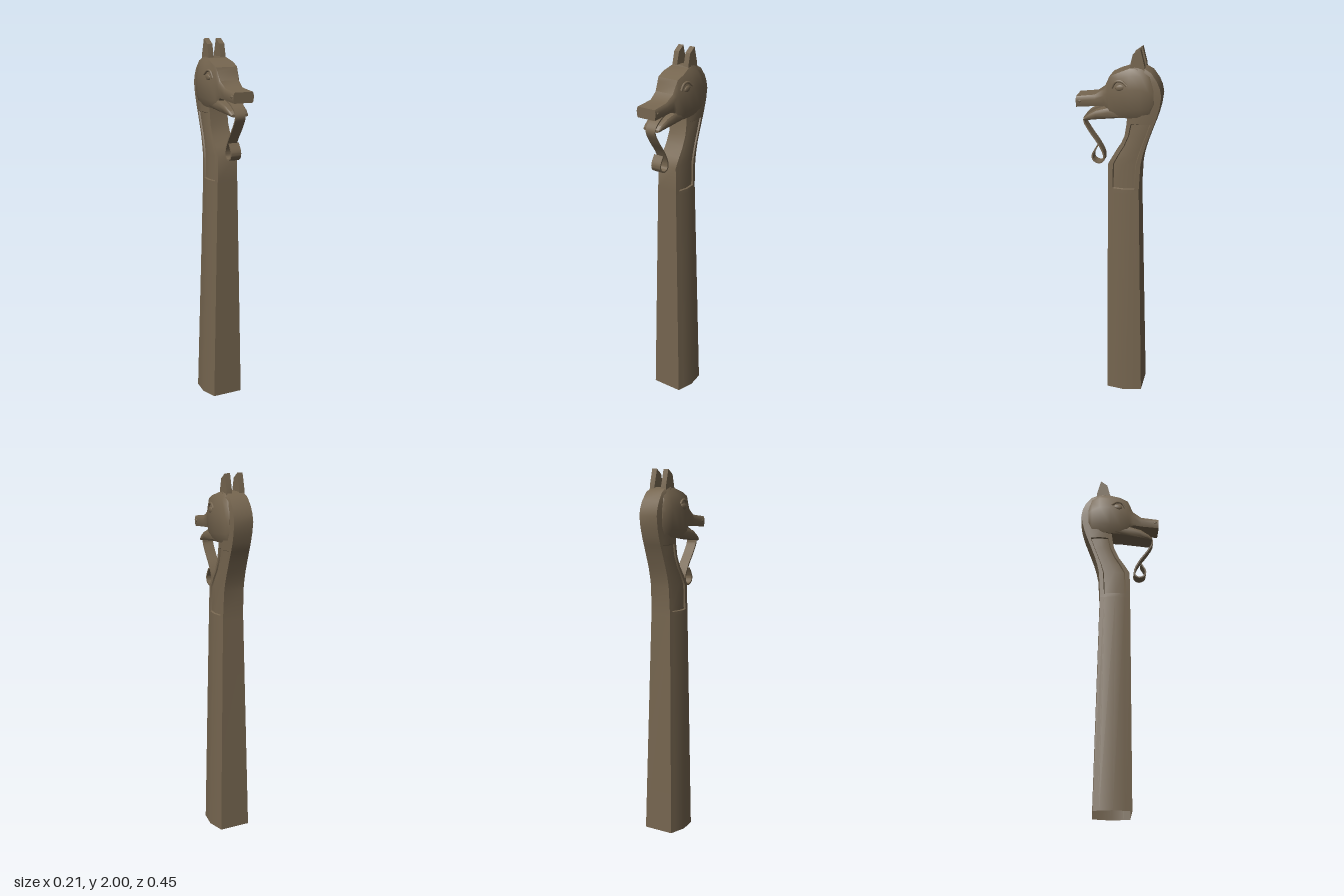
import * as THREE from 'three';
import { toCreasedNormals } from 'three/addons/utils/BufferGeometryUtils.js';

// Skin a list of equal-length closed rings, with optional end caps
function loft(rings, capStart, capEnd, crease = 0.7) {
  const n = rings[0].length, pos = rings.flat(2), index = [];
  for (let r = 0; r < rings.length - 1; r++) {
    for (let i = 0; i < n; i++) {
      const a = r * n + i, b = r * n + (i + 1) % n;
      index.push(a, b, b + n, a, b + n, a + n);
    }
  }
  const cap = (start, flip) => {
    for (let i = 1; i < n - 1; i++) {
      index.push(start, start + (flip ? i + 1 : i), start + (flip ? i : i + 1));
    }
  };
  if (capStart) cap(0, true);
  if (capEnd) cap((rings.length - 1) * n, false);
  const g = new THREE.BufferGeometry();
  g.setAttribute('position', new THREE.Float32BufferAttribute(pos, 3));
  g.setIndex(index);
  return toCreasedNormals(g, crease);
}

// Extrude a side outline given in (z, y) across a width centred on x
function sideExtrude(points, width) {
  const shape = new THREE.Shape(points.map(p => new THREE.Vector2(p[0], p[1])));
  const g = new THREE.ExtrudeGeometry(shape, { depth: width, bevelEnabled: false });
  g.translate(0, 0, -width / 2);
  g.rotateY(-Math.PI / 2);
  return toCreasedNormals(g, 0.6);
}

// Six-sided post ring with an inset panel on each flank
function postRing([y, zf, zb, w, d]) {
  const half = [0, 0.15, 0.18, 0.5, 0.84, 0.87, 1].map((t, i) => {
    const x = w * (1 - 0.36 * Math.abs(t - 0.5)) - (i > 1 && i < 5 ? d : 0);
    return [x, y, zf + (zb - zf) * t];
  });
  return [...half, ...half.slice().reverse().map(p => [-p[0], p[1], p[2]])];
}

// Chamfered head ring: z, bottom, top, half width, top and bottom width ratios
function headRing([z, y0, y1, w, kt, kb]) {
  const h = y1 - y0;
  const half = [
    [w * kb, y0], [w * 0.95, y0 + h * 0.18], [w, y0 + h * 0.6],
    [w * (0.55 + kt * 0.45), y0 + h * 0.87], [w * kt, y1],
  ];
  return [...half, ...half.slice().reverse().map(p => [-p[0], p[1]])].map(p => [p[0], p[1], z]);
}

export function createModel() {
  const group = new THREE.Group();
  const wood = new THREE.MeshStandardMaterial({ color: 0x75654f, side: THREE.DoubleSide });
  wood.name = 'carved wood';
  const add = (name, geometry) => {
    const m = new THREE.Mesh(geometry, wood);
    m.name = name;
    group.add(m);
    return m;
  };

  // Tapered post and curved neck, open at the bottom: y, front z, back z, half width, inset
  const D = 0.008;
  add('postAndNeck', loft([
    [0, 0.06, -0.14, 0.106, 0],
    [1.22, 0.056, -0.113, 0.075, 0],
    [1.243, 0.056, -0.113, 0.074, 0],
    [1.247, 0.056, -0.113, 0.074, D],
    [1.38, 0.054, -0.12, 0.071, D],
    [1.43, 0.025, -0.13, 0.07, D],
    [1.48, -0.008, -0.144, 0.068, D],
    [1.54, -0.034, -0.165, 0.067, D],
    [1.603, -0.044, -0.188, 0.066, D],
    [1.607, -0.045, -0.19, 0.066, 0],
    [1.65, -0.046, -0.204, 0.066, 0],
    [1.70, -0.05, -0.217, 0.067, 0],
    [1.76, -0.05, -0.225, 0.068, 0],
    [1.80, -0.05, -0.217, 0.067, 0],
    [1.835, -0.05, -0.202, 0.066, 0],
    [1.88, -0.05, -0.17, 0.062, 0],
    [1.905, -0.06, -0.125, 0.055, 0],
  ].map(postRing), false, true));

  // Skull, brow and upper snout
  add('headAndSnout', loft([
    [-0.185, 1.69, 1.82, 0.064, 0.75, 0.8],
    [-0.165, 1.655, 1.865, 0.076, 0.7, 0.75],
    [-0.12, 1.645, 1.9, 0.086, 0.62, 0.72],
    [-0.06, 1.638, 1.9, 0.09, 0.62, 0.7],
    [0, 1.636, 1.877, 0.084, 0.8, 0.7],
    [0.045, 1.645, 1.856, 0.072, 0.88, 0.75],
    [0.056, 1.68, 1.832, 0.069, 0.88, 0.8],
    [0.075, 1.697, 1.788, 0.065, 0.86, 0.9],
    [0.125, 1.692, 1.753, 0.06, 0.86, 0.9],
    [0.225, 1.683, 1.74, 0.062, 0.88, 0.9],
  ].map(headRing), true, true));

  // Lower jaw
  add('lowerJaw', loft([
    [-0.03, 1.638, 1.69, 0.07, 0.85, 0.8],
    [0.055, 1.628, 1.685, 0.065, 0.9, 0.85],
    [0.12, 1.62, 1.667, 0.062, 0.9, 0.85],
    [0.165, 1.612, 1.64, 0.056, 0.9, 0.85],
    [0.187, 1.608, 1.622, 0.05, 0.9, 0.85],
  ].map(headRing), true, true));

  // Ribbon tongue hanging from the jaw and curling at its end
  const curve = new THREE.CatmullRomCurve3([
    [0.08, 1.69], [0.127, 1.672], [0.175, 1.637], [0.19, 1.605], [0.164, 1.55], [0.112, 1.475],
    [0.085, 1.415], [0.088, 1.383], [0.112, 1.37], [0.14, 1.383], [0.147, 1.41], [0.122, 1.46],
  ].map(p => new THREE.Vector3(p[0], p[1], 0)));
  const outer = [], inner = [];
  for (let i = 0; i <= 60; i++) {
    const p = curve.getPoint(i / 60), t = curve.getTangent(i / 60), r = 0.004;
    outer.push([p.x - t.y * r, p.y + t.x * r]);
    inner.unshift([p.x + t.y * r, p.y - t.x * r]);
  }
  add('tongue', sideExtrude([...outer, ...inner], 0.06));

  for (const [side, s] of [['left', 1], ['right', -1]]) {
    // Upright pointed ears
    add(side + 'Ear', sideExtrude(
      [[-0.055, 1.87], [-0.138, 1.87], [-0.135, 1.915], [-0.113, 2], [-0.075, 1.972], [-0.06, 1.91]], 0.031,
    )).position.x = s * 0.0365;

    // Almond eye under a curved brow
    const eye = add(side + 'Eye', new THREE.SphereGeometry(1, 16, 10));
    eye.scale.set(0.007, 0.016, 0.024);
    eye.position.set(s * 0.082, 1.803, -0.013);
    eye.rotation.x = 0.2;
    const browCurve = new THREE.CatmullRomCurve3([
      [0.074, 1.80, 0.03], [0.077, 1.832, 0.01], [0.08, 1.837, -0.02], [0.085, 1.815, -0.05],
    ].map(p => new THREE.Vector3(s * p[0], p[1], p[2])));
    add(side + 'Brow', new THREE.TubeGeometry(browCurve, 14, 0.007, 8));

    // Nostril bump
    const nostril = add(side + 'Nostril', new THREE.SphereGeometry(1, 10, 8));
    nostril.scale.set(0.003, 0.007, 0.01);
    nostril.position.set(s * 0.061, 1.717, 0.205);
  }
  return group;
}
